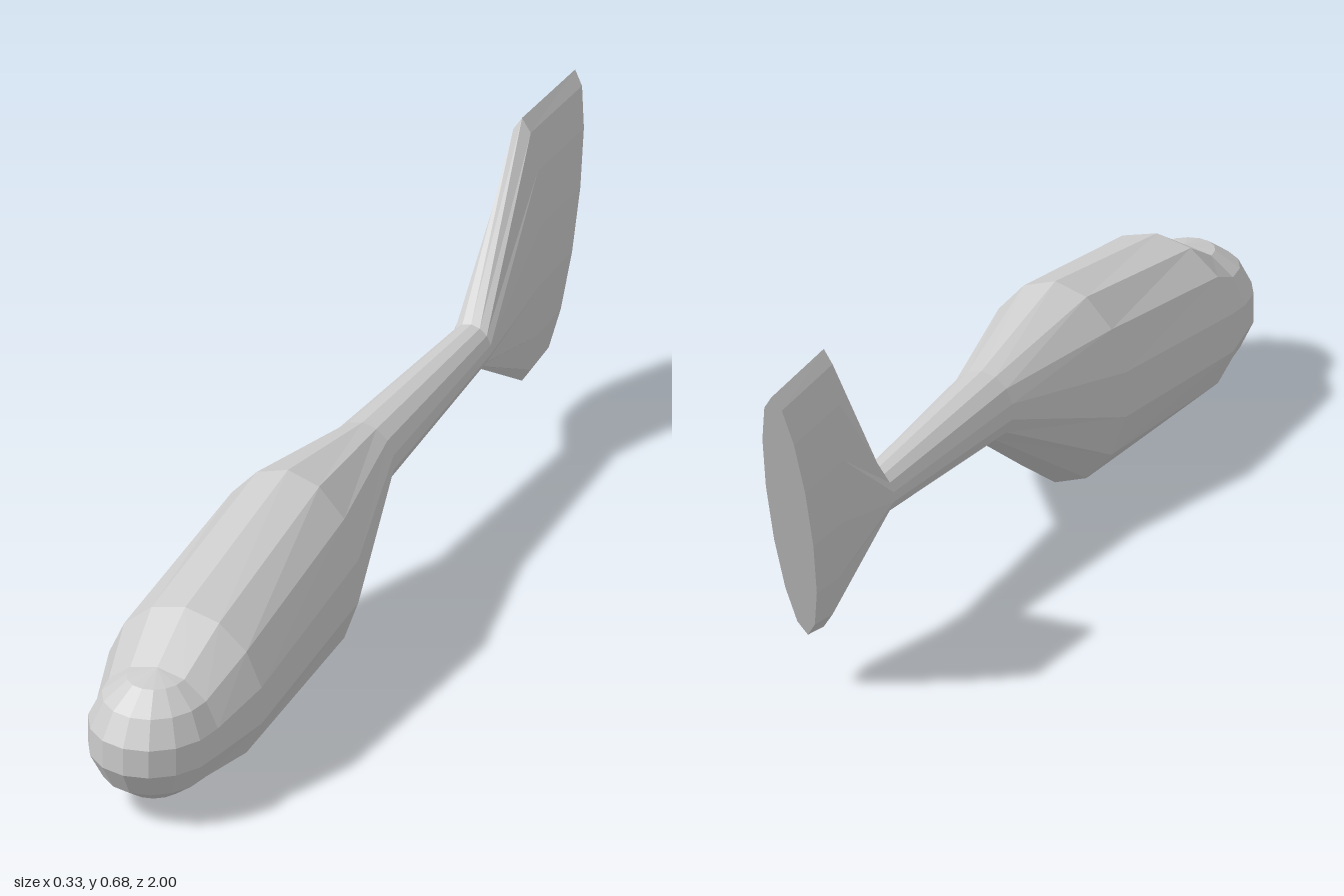
import * as THREE from 'three';

const SIDES = 14;
const material = new THREE.MeshStandardMaterial({ color: 0xcccccc, flatShading: true });

// Elliptical section; "slant" leans the top of the section backwards
function section({ z, cy, rx, ry, slant = 0 }) {
  return Array.from({ length: SIDES }, (_, i) => {
    const a = (i / SIDES) * Math.PI * 2;
    return [rx * Math.sin(a), cy + ry * Math.cos(a), z - slant * Math.cos(a)];
  });
}

// Skin a list of sections running from front to back, optionally closing the rear
function loft(name, specs, capRear = false) {
  const positions = specs.flatMap((s) => section(s).flat());
  const index = [];
  for (let r = 0; r < specs.length - 1; r++) {
    for (let i = 0; i < SIDES; i++) {
      const j = (i + 1) % SIDES;
      const a = r * SIDES + i, b = r * SIDES + j;
      const c = a + SIDES, d = b + SIDES;
      index.push(a, b, c, b, d, c);
    }
  }
  if (capRear) {
    const base = (specs.length - 1) * SIDES;
    for (let i = 1; i < SIDES - 1; i++) index.push(base, base + i, base + i + 1);
  }
  const indexed = new THREE.BufferGeometry();
  indexed.setAttribute('position', new THREE.Float32BufferAttribute(positions, 3));
  indexed.setIndex(index);
  const geometry = indexed.toNonIndexed();
  geometry.computeVertexNormals();
  const mesh = new THREE.Mesh(geometry, material);
  mesh.name = name;
  return mesh;
}

export function createModel() {
  const group = new THREE.Group();
  group.name = 'fuselage';

  // Main sections, nose joint to tail joint
  const noseRing = { z: 0.848, cy: 0.155, rx: 0.133, ry: 0.133 };
  const cabinFront = { z: 0.724, cy: 0.18, rx: 0.167, ry: 0.178 };
  const cabinRear = { z: 0.27, cy: 0.221, rx: 0.154, ry: 0.21 };
  const boomFront = { z: -0.06, cy: 0.296, rx: 0.068, ry: 0.073 };
  const boomRear = { z: -0.54, cy: 0.296, rx: 0.043, ry: 0.046 };

  // Rounded nose: front half of a faceted sphere
  const nose = new THREE.Mesh(new THREE.SphereGeometry(1, 8, 7, 0, Math.PI), material);
  nose.name = 'nose';
  nose.scale.set(noseRing.rx, noseRing.ry, 0.156);
  nose.position.set(0, noseRing.cy, noseRing.z);
  group.add(nose);

  group.add(loft('cabin', [noseRing, cabinFront, cabinRear, boomFront]));
  group.add(loft('tailBoom', [boomFront, boomRear]));

  // Tail fin flares from the boom to a tall blade with a slanted flat rear
  group.add(loft('tailFin', [
    boomRear,
    { z: -0.765, cy: 0.394, rx: 0.043, ry: 0.29 },
    { z: -0.918, cy: 0.393, rx: 0.043, ry: 0.279, slant: 0.082 },
  ], true));

  return group;
}
